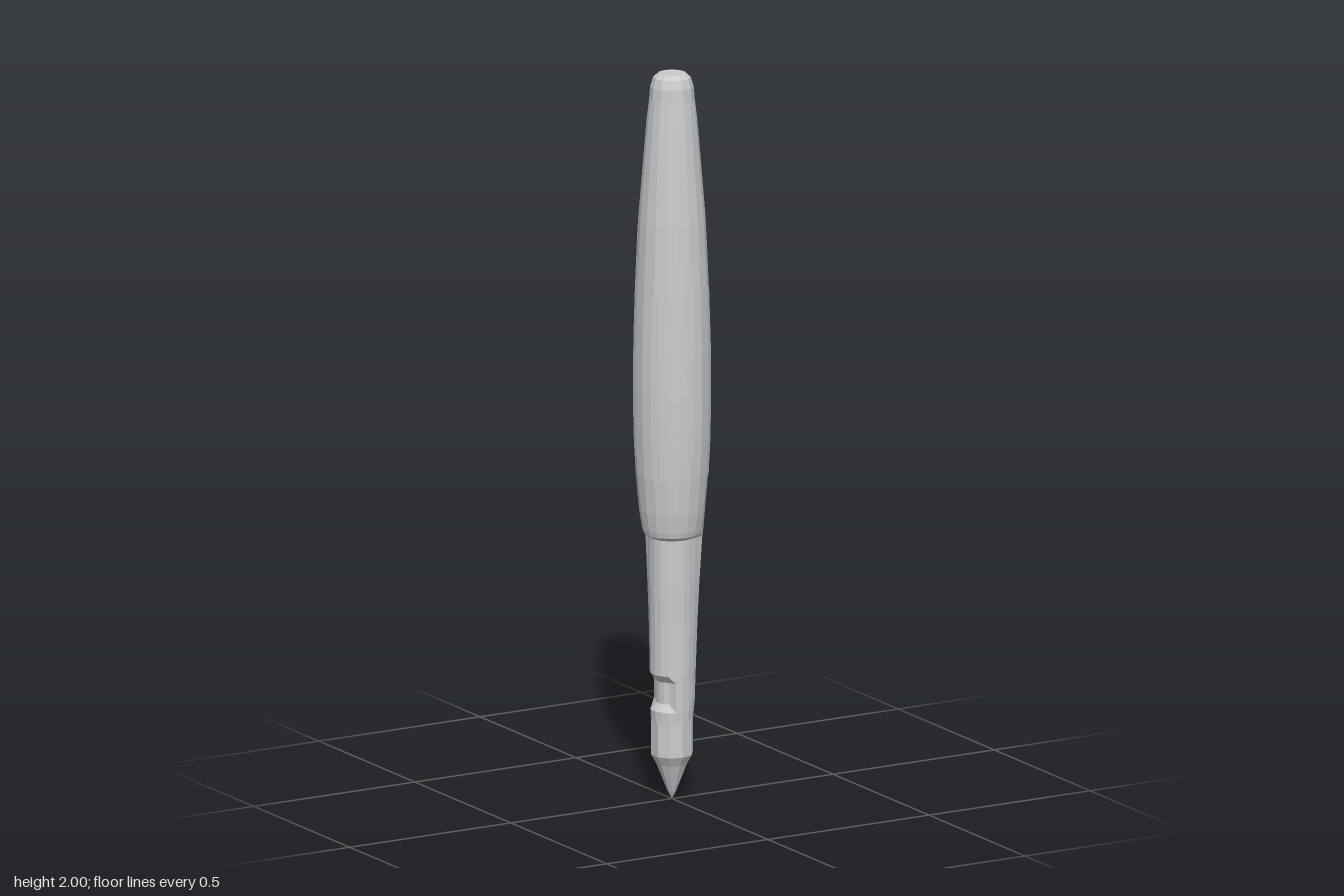
import * as THREE from 'three';

const material = new THREE.MeshStandardMaterial({ color: 0xcccccc, flatShading: true, side: THREE.DoubleSide });
const SIDES = 18;

// [radius, height] of the barrel, bottom to top, with the step under the sleeve
const barrel = [
  [0.056, 0.22], [0.058, 0.25], [0.058, 0.27], [0.058, 0.33], [0.059, 0.35], [0.06, 0.5], [0.062, 0.6],
  [0.062, 0.725], [0.076, 0.735], [0.08, 0.75], [0.088, 0.8], [0.097, 0.9], [0.102, 1.0], [0.104, 1.12],
  [0.103, 1.25], [0.098, 1.42], [0.09, 1.6], [0.078, 1.75], [0.068, 1.87], [0.061, 1.93],
];
// The same barrel on the side where the sleeve runs smoothly down to the grip
const taper = [[0.056, 0.22], [0.061, 0.27], [0.065, 0.4], [0.071, 0.55], [0.08, 0.7], [0.097, 0.9], [0.102, 1.0]];

function radiusAt(profile, y) {
  for (let i = 1; i < profile.length; i++) {
    const [r0, y0] = profile[i - 1], [r1, y1] = profile[i];
    if (y <= y1) return THREE.MathUtils.lerp(r0, r1, THREE.MathUtils.clamp((y - y0) / (y1 - y0), 0, 1));
  }
  return profile.at(-1)[0];
}

function lathe(profile, start = 0, length = Math.PI * 2, sides = SIDES) {
  return new THREE.LatheGeometry(profile.map(([r, y]) => new THREE.Vector2(r, y)), sides, start, length);
}

export function createModel() {
  const model = new THREE.Group();
  const add = (name, geometry) => {
    const mesh = new THREE.Mesh(geometry, material);
    mesh.name = name;
    model.add(mesh);
    return mesh;
  };

  // Barrel: stepped at the front right, smoothly tapered at the back left, notched on the right
  const body = lathe(barrel);
  const pos = body.attributes.position;
  for (let i = 0; i < pos.count; i++) {
    const x = pos.getX(i), y = pos.getY(i), z = pos.getZ(i);
    const phi = Math.atan2(x, z);
    let r = Math.hypot(x, z);
    if (y < 1) {
      const blend = THREE.MathUtils.smoothstep(Math.cos(phi - Math.PI * 0.75), -0.3, 0.35);
      r = THREE.MathUtils.lerp(r, radiusAt(taper, y), blend);
    }
    if (y > 0.26 && y < 0.34 && Math.cos(phi + Math.PI / 2) > 0.45) r = 0.044;
    pos.setXYZ(i, r * Math.sin(phi), y, r * Math.cos(phi));
  }
  body.computeVertexNormals();
  add('barrel', body);

  // Rounded cap with a small flat top
  add('endCap', lathe([[0.061, 1.93], [0.058, 1.965], [0.05, 1.99], [0.038, 2.0], [0, 2.0]], 0, Math.PI * 2, 12));

  // Faceted collar and pointed tip
  add('tipCollar', lathe([[0.05, 0.23], [0.057, 0.22], [0.057, 0.125], [0.043, 0.1]].reverse(), 0, Math.PI * 2, 10));
  add('tip', lathe([[0, 0], [0.012, 0.022], [0.043, 0.1]], 0, Math.PI * 2, 10));

  // Slightly raised staves following the barrel's curve: [angle in degrees, width, bottom, top]
  const staves = [
    [-8, 24, 0.95, 1.5], [38, 26, 0.9, 1.42], [82, 22, 0.93, 1.54], [128, 26, 1.0, 1.62],
    [170, 24, 0.95, 1.86], [215, 28, 1.02, 1.58], [262, 24, 0.95, 1.5], [310, 26, 0.9, 1.4],
  ];
  for (const [angle, width, low, high] of staves) {
    const profile = [];
    for (let i = 0; i <= 6; i++) {
      const y = THREE.MathUtils.lerp(low, high, i / 6);
      profile.push([radiusAt(barrel, y) + 0.002, y]);
    }
    add('stave', lathe(profile, THREE.MathUtils.degToRad(angle - width / 2), THREE.MathUtils.degToRad(width), 2));
  }
  return model;
}
